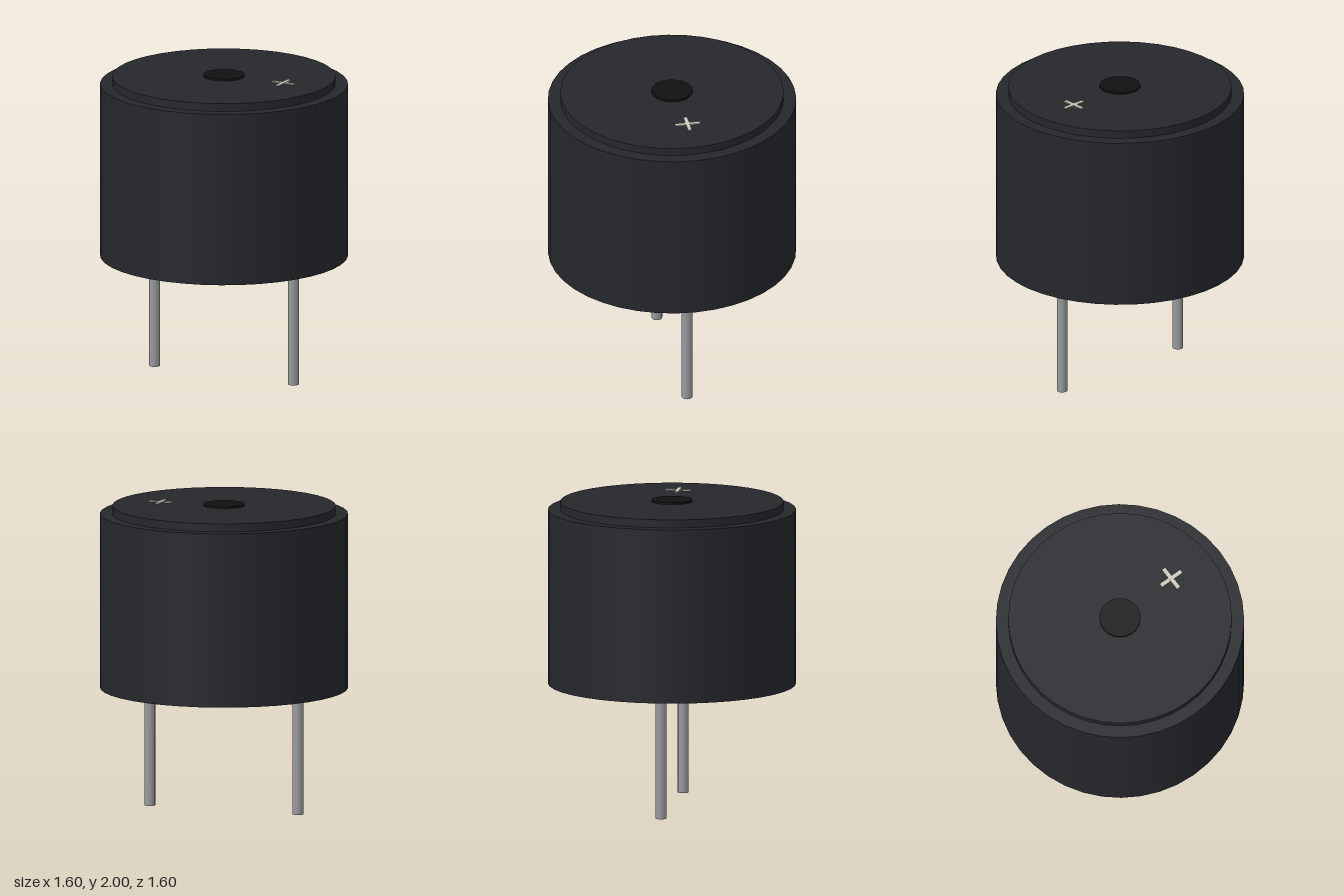
import * as THREE from 'three';

export function createModel() {
  const model = new THREE.Group();
  model.name = 'buzzer';
  const paint = (color) => new THREE.MeshStandardMaterial({ color });
  const black = paint(0x25272b);
  const holeBlack = paint(0x111111);
  const metal = paint(0x999a9e);
  const cream = paint(0xd0cabb);

  const add = (name, geometry, material, x, y, z, parent = model) => {
    const mesh = new THREE.Mesh(geometry, material);
    mesh.name = name;
    mesh.position.set(x, y, z);
    parent.add(mesh);
    return mesh;
  };
  // Upright cylinder between two heights
  const rod = (name, r, y0, y1, sides, material, x = 0) =>
    add(name, new THREE.CylinderGeometry(r, r, y1 - y0, sides), material, x, (y0 + y1) / 2, 0);

  // Housing with a raised lid and the dark sound hole
  rod('housing', 0.8, 0.8, 1.935, 40, black);
  rod('lid', 0.72, 1.9, 1.987, 40, black);
  rod('soundHole', 0.132, 1.95, 2, 24, holeBlack);

  // Two wire pins
  for (const [name, side] of [['leftPin', 1], ['rightPin', -1]]) {
    rod(name, 0.035, 0, 0.82, 12, metal, side * 0.509);
  }

  // Polarity mark: two crossed bars lying on the lid
  const mark = new THREE.Group();
  mark.name = 'polarityMark';
  mark.position.set(0.425, 1.987, -0.02);
  model.add(mark);
  add('markBarAcross', new THREE.BoxGeometry(0.162, 0.014, 0.025), cream, 0, 0, 0, mark);
  add('markBarAlong', new THREE.BoxGeometry(0.025, 0.015, 0.162), cream, 0, 0, 0, mark);

  return model;
}
